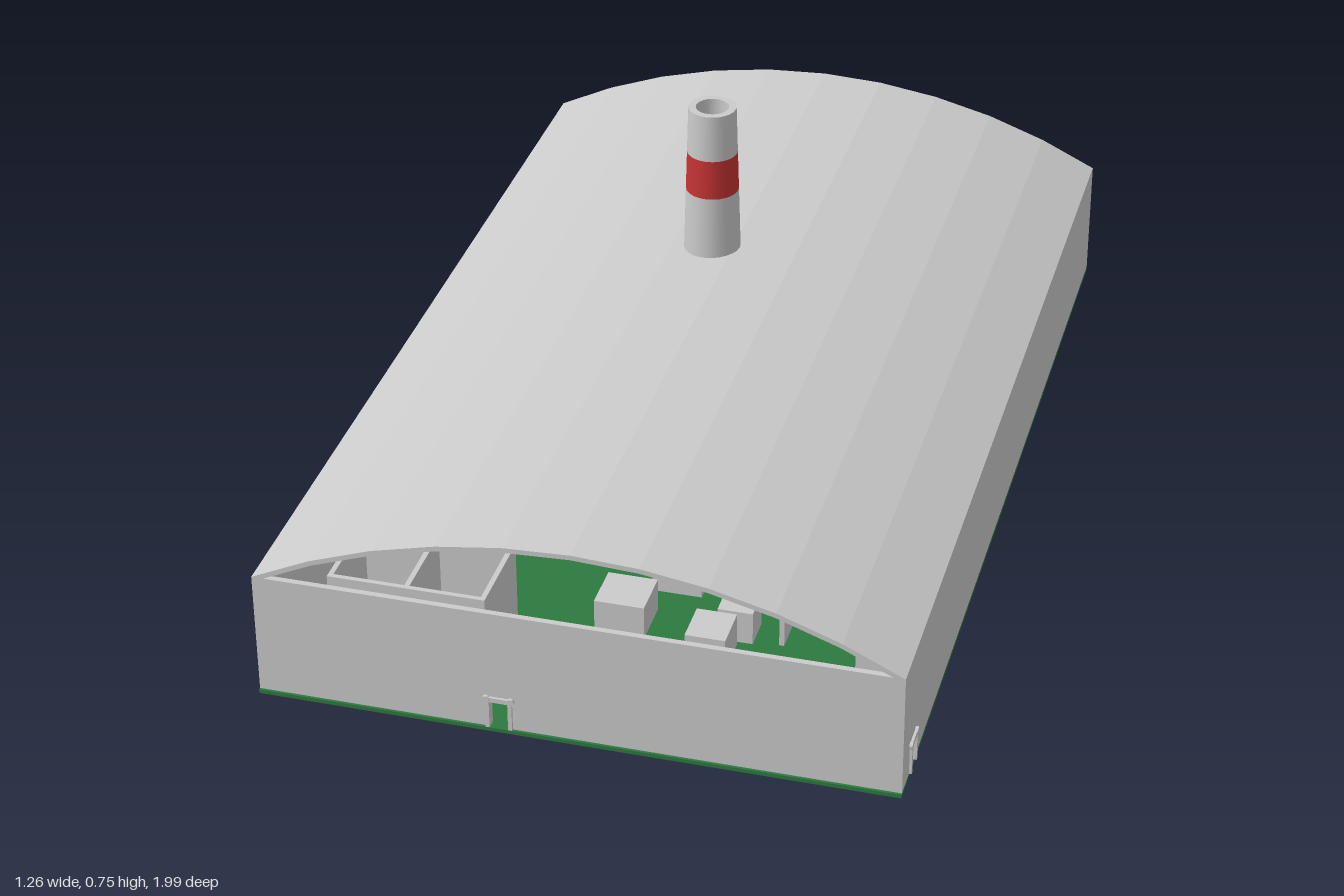
import * as THREE from 'three';

const grey = new THREE.MeshStandardMaterial({ color: 0xcccccc, flatShading: true });
const smoothGrey = new THREE.MeshStandardMaterial({ color: 0xcccccc });
const green = new THREE.MeshStandardMaterial({ color: 0x2d7a3f });
const red = new THREE.MeshStandardMaterial({ color: 0xc63434 });

const HALF_W = 0.62, HALF_L = 0.995, FLOOR = 0.03, EAVE = 0.285, T = 0.012;

export function createModel() {
  const model = new THREE.Group();

  const add = (name, geometry, material = grey, parent = model) => {
    const mesh = new THREE.Mesh(geometry, material);
    mesh.name = name;
    parent.add(mesh);
    return mesh;
  };
  // Box given by its extents
  const block = (name, x0, x1, y0, y1, z0, z1, material = grey, parent = model) => {
    const mesh = add(name, new THREE.BoxGeometry(x1 - x0, y1 - y0, z1 - z0), material, parent);
    mesh.position.set((x0 + x1) / 2, (y0 + y1) / 2, (z0 + z1) / 2);
    return mesh;
  };

  // Ground slab
  block('floor', -HALF_W, HALF_W, 0.022, FLOOR, -HALF_L, HALF_L, green);

  // Outer wall with a doorway, drawn in its own plane, outer face at local z = 0
  const doorWall = (name, halfLength, doorX) => {
    const group = new THREE.Group();
    group.name = name;
    const w = 0.02, top = 0.092;
    const shape = new THREE.Shape([
      [-halfLength, FLOOR], [doorX - w, FLOOR], [doorX - w, top], [doorX + w, top],
      [doorX + w, FLOOR], [halfLength, FLOOR], [halfLength, EAVE], [-halfLength, EAVE],
    ].map(([x, y]) => new THREE.Vector2(x, y)));
    add('wallPanel', new THREE.ExtrudeGeometry(shape, { depth: T, bevelEnabled: false }), grey, group)
      .position.z = -T;
    // Door frame: posts, lintel and rounded corners
    for (const s of [-1, 1]) {
      const x = doorX + s * (w + 0.002);
      block('doorPost', x - 0.004, x + 0.004, FLOOR, top + 0.004, -T - 0.003, 0.005, grey, group);
      const corner = add('doorCorner', new THREE.CylinderGeometry(0.007, 0.007, T + 0.008, 10), grey, group);
      corner.rotation.x = Math.PI / 2;
      corner.position.set(x + s * 0.002, top + 0.002, -0.004);
    }
    block('doorLintel', doorX - w, doorX + w, top - 0.004, top + 0.006, -T - 0.003, 0.005, grey, group);
    model.add(group);
    return group;
  };
  doorWall('frontWall', HALF_W, -0.145).position.z = HALF_L - 0.005;
  const leftWall = doorWall('leftWall', HALF_L - 0.005, -0.905);
  leftWall.rotation.y = Math.PI / 2;
  leftWall.position.x = HALF_W;
  block('rightWall', -HALF_W, -HALF_W + T, FLOOR, EAVE, -HALF_L, HALF_L - 0.005);
  block('backWall', -HALF_W, HALF_W, FLOOR, EAVE, -HALF_L, -HALF_L + T);

  // Thin arched roof, open at both gables
  const rise = 0.157, half = HALF_W;
  const radius = (half * half + rise * rise) / (2 * rise);
  const sweep = Math.asin(half / radius), centreY = EAVE + rise - radius;
  const arc = (r, dir) => Array.from({ length: 11 }, (_, i) => {
    const a = dir * sweep * (1 - i / 5);
    return new THREE.Vector2(r * Math.sin(a), centreY + r * Math.cos(a));
  });
  const roofShape = new THREE.Shape([...arc(radius, 1), ...arc(radius - 0.01, -1)]);
  add('archedRoof', new THREE.ExtrudeGeometry(roofShape, { depth: 2 * HALF_L - 0.005, bevelEnabled: false }))
    .position.z = -HALF_L;

  // Hollow tapering chimney with a painted band
  const chimney = new THREE.Group();
  chimney.name = 'chimney';
  chimney.position.set(-0.045, 0, -0.175);
  model.add(chimney);
  const outer = (y) => 0.063 - (y - EAVE) * 0.0295;
  const lathe = (name, points, material) =>
    add(name, new THREE.LatheGeometry(points.map(([r, y]) => new THREE.Vector2(r, y)), 24), material, chimney);
  const shaft = (name, y0, y1, material) => lathe(name, [[outer(y0), y0], [outer(y1), y1]], material);
  shaft('lowerShaft', FLOOR, 0.575, smoothGrey);
  shaft('redBand', 0.575, 0.66, red);
  shaft('upperShaft', 0.66, 0.76, smoothGrey);
  lathe('rim', [[outer(0.76), 0.76], [0.034, 0.76]], smoothGrey);
  lathe('flue', [[0.034, 0.76], [0.034, 0.3], [0, 0.3]], smoothGrey);
  block('chimneyBase', -0.14, 0.05, 0.005, 0.06, -0.267, -0.078);

  // Partitions: x0, z0, x1, z1, height of the top
  const partitions = [
    [-0.04, 0.38, -0.04, -0.8, 0.25],
    [-0.04, 0.37, 0.61, 0.37, 0.25],
    [-0.625, 0.155, -0.04, 0.155, 0.25],
    [0.2, -0.5, 0.61, -0.5, 0.22],
    [0.2, -0.5, 0.2, -0.19, 0.22],
    [0.2, -0.19, 0.31, -0.19, 0.22],
    [0.3, 0.37, 0.3, 0.6, 0.2],
    [-0.5, 0.72, -0.2, 0.72, 0.25],
    [-0.5, 0.9, -0.2, 0.9, 0.25],
    [-0.5, 0.72, -0.5, 0.9, 0.25],
    [-0.35, 0.72, -0.35, 0.9, 0.25],
    [-0.2, 0.72, -0.2, 0.9, 0.25],
  ];
  for (const [x0, z0, x1, z1, top] of partitions) {
    block('partition', Math.min(x0, x1) - 0.005, Math.max(x0, x1) + 0.005, 0.021, top,
      Math.min(z0, z1) - 0.005, Math.max(z0, z1) + 0.005);
  }

  // Machines standing on the floor: x, z, width, depth, bottom
  const machines = [
    [0.514, 0.637, 0.1, 0.11, 0.012], [0.06, 0.44, 0.1, 0.1, 0.015],
    [-0.012, 0.6, 0.1, 0.1, 0.015], [-0.015, 0.887, 0.1, 0.09, 0.015],
    [0.364, 0.416, 0.08, 0.08, 0.018], [0.176, 0.668, 0.08, 0.09, 0.018],
    [0.21, 0.58, 0.07, 0.07, 0.018], [0.515, 0.235, 0.15, 0.09, 0.005],
  ];
  for (const [x, z, w, d, y] of machines) {
    block('machine', x - w / 2, x + w / 2, y, 0.1, z - d / 2, z + d / 2);
  }

  return model;
}
